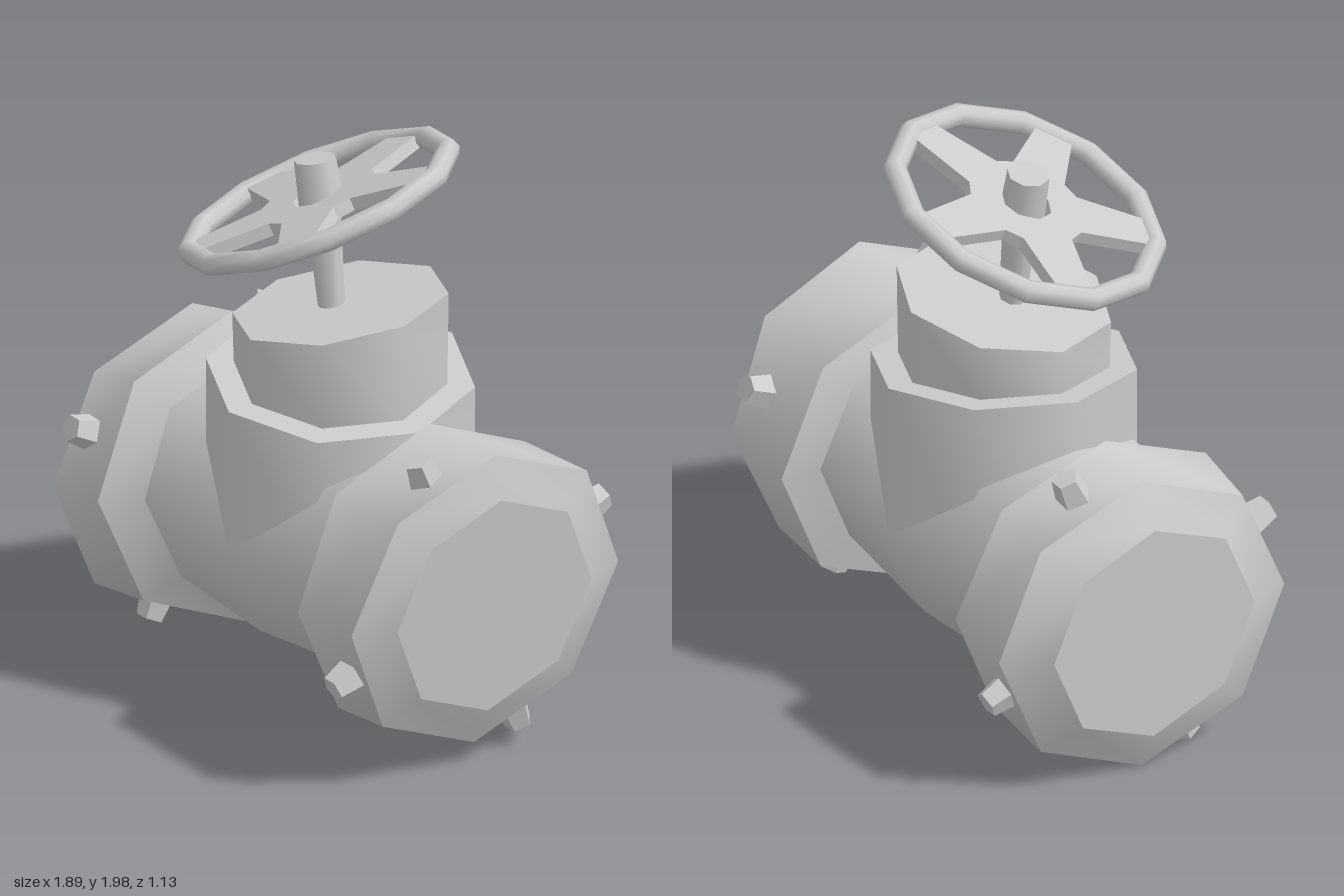
import * as THREE from 'three';
import { mergeGeometries } from 'three/addons/utils/BufferGeometryUtils.js';

const SIDES = 8;
const smooth = new THREE.MeshStandardMaterial({ color: 0xcccccc });
const faceted = new THREE.MeshStandardMaterial({ color: 0xcccccc, flatShading: true });

// Octagon across the pipe, leaning along x by slopes a (per y) and b (per z)
function pipeRing(cx, cy, r, a = 0, b = 0) {
  return Array.from({ length: SIDES }, (_, i) => {
    const t = (i / SIDES) * Math.PI * 2;
    const dy = r * Math.cos(t), dz = r * Math.sin(t);
    return new THREE.Vector3(cx + a * dy + b * dz, cy + dy, dz);
  });
}

// Octagon around the vertical axis, lying in a sloping plane
function neckRing(cy, r, a = 0, b = 0) {
  return Array.from({ length: SIDES }, (_, i) => {
    const t = (i / SIDES) * Math.PI * 2;
    const x = r * Math.sin(t), z = r * Math.cos(t);
    return new THREE.Vector3(x, cy + a * x + b * z, z);
  });
}

function indexed(points, index) {
  const g = new THREE.BufferGeometry().setFromPoints(points);
  g.setIndex(index);
  g.computeVertexNormals();
  return g;
}

// Smooth skin through a row of rings
function band(...rings) {
  const index = [];
  for (let k = 0; k < rings.length - 1; k++) {
    for (let i = 0; i < SIDES; i++) {
      const j = (i + 1) % SIDES, p = k * SIDES, q = p + SIDES;
      index.push(p + i, p + j, q + i, p + j, q + j, q + i);
    }
  }
  return indexed(rings.flat(), index);
}

// Flat lid on a ring
function lid(ring, flip = false) {
  const index = [];
  for (let i = 1; i < SIDES - 1; i++) index.push(0, flip ? i + 1 : i, flip ? i : i + 1);
  return indexed(ring, index);
}

function add(parent, name, geometry, material = smooth) {
  const mesh = new THREE.Mesh(geometry, material);
  mesh.name = name;
  parent.add(mesh);
  return mesh;
}

export function createModel() {
  const model = new THREE.Group();
  model.name = 'valve';

  // Rings of the pipe and its two flanges, from -x to +x
  const rEnd = pipeRing(-0.945, 0.56, 0.4, -0.01, 0);
  const rOut = pipeRing(-0.865, 0.56, 0.55, 0, -0.055);
  const rIn = pipeRing(-0.6, 0.605, 0.555, -0.07, -0.055);
  const rNeck = pipeRing(-0.525, 0.605, 0.42, -0.11, -0.055);
  const middle = pipeRing(-0.01, 0.62, 0.46);
  const lNeck = pipeRing(0.49, 0.63, 0.42, -0.05);
  const lIn = pipeRing(0.53, 0.612, 0.55, -0.02);
  const lOut = pipeRing(0.843, 0.635, 0.55, 0.115);
  const lEnd = pipeRing(0.9, 0.63, 0.4, 0.1);

  add(model, 'pipeBody', band(rNeck, middle, lNeck));
  add(model, 'rightFlange', mergeGeometries([
    lid(rEnd, true), band(rEnd, rOut), band(rOut, rIn), band(rIn, rNeck)]));
  add(model, 'leftFlange', mergeGeometries([
    band(lNeck, lIn), band(lIn, lOut), band(lOut, lEnd), lid(lEnd)]));

  // Five-sided bolts, four around each flange
  const boltGeometry = new THREE.CylinderGeometry(0.048, 0.07, 0.13, 5);
  const boltRow = (name, xs, start) => xs.forEach((x, k) => {
    const t = THREE.MathUtils.degToRad(start + 90 * k);
    const bolt = add(model, name, boltGeometry, faceted);
    const cy = x < 0 ? 0.585 : 0.625;
    bolt.position.set(x, cy + 0.527 * Math.cos(t), 0.527 * Math.sin(t));
    bolt.rotation.x = t;
  });
  boltRow('rightFlangeBolt', [-0.8, -0.79, -0.75, -0.74], 67.5);
  boltRow('leftFlangeBolt', [0.77, 0.73, 0.72, 0.76], 22.5);

  // Bonnet: wide sleeve, sloping ledge, narrower drum leaning the other way
  const sleeveBottom = neckRing(0.62, 0.46);
  const sleeveTop = neckRing(1.165, 0.46, -0.125, -0.065);
  const drumBottom = neckRing(1.165, 0.365, -0.125, -0.065);
  const drumTop = neckRing(1.42, 0.37, 0.125, -0.115);
  add(model, 'bonnetSleeve', mergeGeometries([
    band(sleeveBottom, sleeveTop), band(sleeveTop, drumBottom)]));
  add(model, 'bonnetDrum', mergeGeometries([band(drumBottom, drumTop), lid(drumTop)]));

  // Leaning stem and the nut on its top
  const rod = (name, from, to, r0, r1, sides) => {
    const a = new THREE.Vector3(...from), b = new THREE.Vector3(...to);
    const dir = b.clone().sub(a);
    const mesh = add(model, name, new THREE.CylinderGeometry(r1, r0, dir.length(), sides));
    mesh.position.copy(a).add(b).multiplyScalar(0.5);
    mesh.quaternion.setFromUnitVectors(new THREE.Vector3(0, 1, 0), dir.normalize());
  };
  rod('stem', [-0.02, 1.36, 0.018], [-0.07, 1.78, 0.025], 0.045, 0.062, 8);
  rod('stemNut', [-0.066, 1.73, 0.025], [-0.1, 1.925, 0.035], 0.08, 0.073, 8);

  // Tilted handwheel
  const wheel = new THREE.Group();
  wheel.name = 'handwheel';
  wheel.position.set(-0.07, 1.78, 0.04);
  wheel.quaternion.setFromUnitVectors(
    new THREE.Vector3(0, 1, 0), new THREE.Vector3(-0.31, 1, 0.26).normalize());
  model.add(wheel);
  add(wheel, 'wheelRim', new THREE.TorusGeometry(0.47, 0.04, 8, 12).rotateX(Math.PI / 2));

  // Hub with five tapering spokes cut as one plate
  const plate = new THREE.Shape();
  const corner = (r, angle, first) => {
    const x = r * Math.cos(angle), y = r * Math.sin(angle);
    if (first) plate.moveTo(x, y); else plate.lineTo(x, y);
  };
  for (let k = 0; k < 5; k++) {
    const t = THREE.MathUtils.degToRad(-100 + 72 * k);
    corner(0.21, t - 0.47, k === 0);
    corner(0.46, t - 0.14);
    corner(0.46, t + 0.14);
    corner(0.21, t + 0.47);
  }
  plate.holes.push(new THREE.Path().absarc(0, 0, 0.088, 0, Math.PI * 2, true));
  const plateGeometry = new THREE.ExtrudeGeometry(plate, {
    depth: 0.045, bevelEnabled: false, curveSegments: 4 });
  add(wheel, 'wheelSpokes', plateGeometry.translate(0, 0, -0.0225).rotateX(Math.PI / 2), faceted);

  return model;
}
